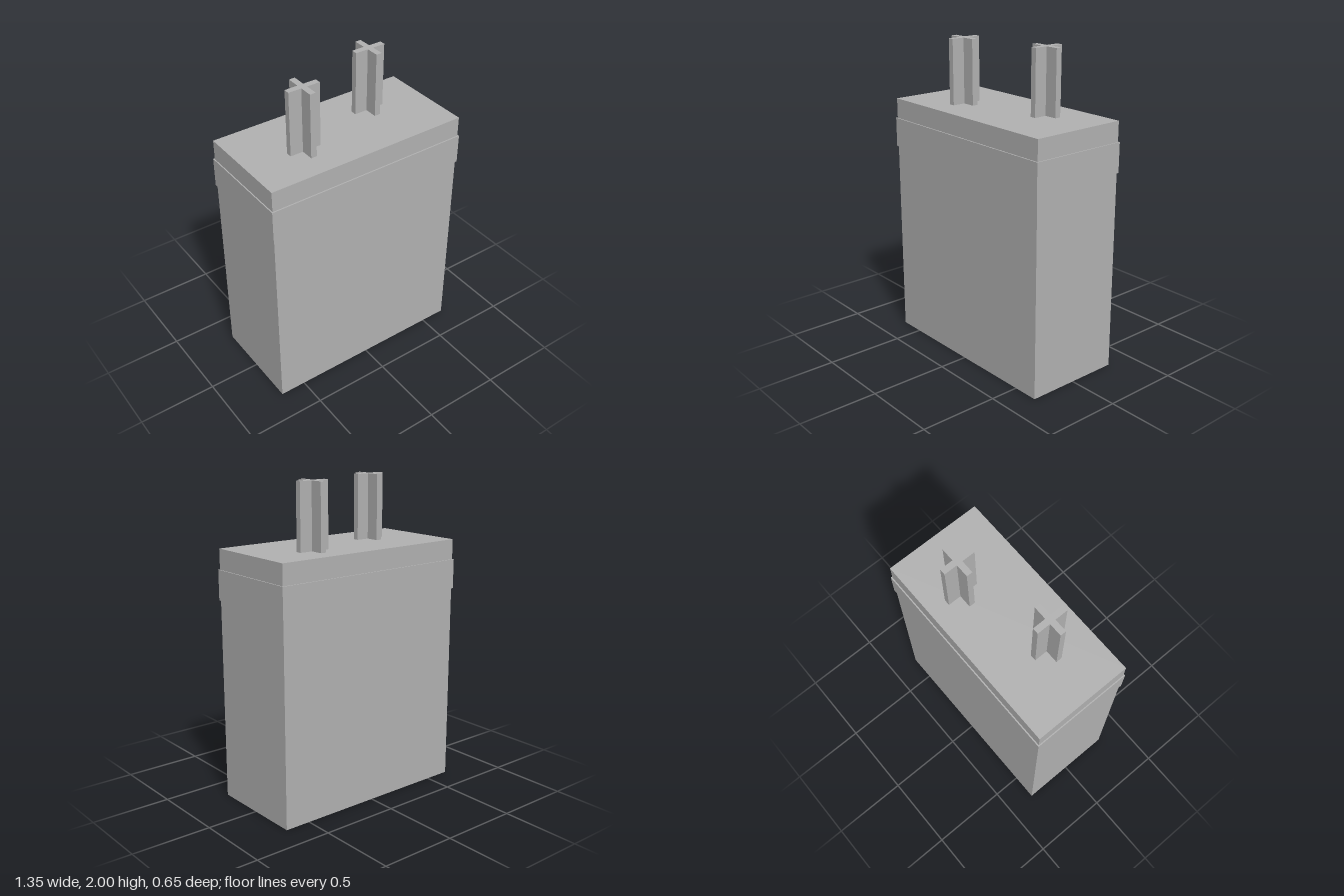
import * as THREE from 'three';

export function createModel() {
  const model = new THREE.Group();
  const grey = new THREE.MeshStandardMaterial({ color: 0xb2b2b2 });
  grey.name = 'grey';

  function add(name, geometry, x, y, z) {
    const mesh = new THREE.Mesh(geometry, grey);
    mesh.name = name;
    mesh.position.set(x, y, z);
    model.add(mesh);
  }

  // Case with a slightly wider band near the top
  const top = 1.59;
  add('case', new THREE.BoxGeometry(1.333, top, 0.636), 0, top / 2, -0.002);
  add('band', new THREE.BoxGeometry(1.347, 0.188, 0.652), 0, 1.368, -0.002);

  // Cross-shaped terminals: one arm outline turned four times
  const half = 0.103, t = 0.019;
  const points = [];
  for (let i = 0; i < 4; i++) {
    for (const [x, y] of [[half, -t], [half, t], [t, t]]) {
      points.push(new THREE.Vector2(x, y).rotateAround(new THREE.Vector2(), i * Math.PI / 2));
    }
  }
  const cross = new THREE.ExtrudeGeometry(new THREE.Shape(points), { depth: 2 - top, bevelEnabled: false });
  cross.rotateX(-Math.PI / 2);
  add('rightTerminal', cross, -0.287, top, 0.061);
  add('leftTerminal', cross, 0.285, top, -0.098);

  return model;
}
